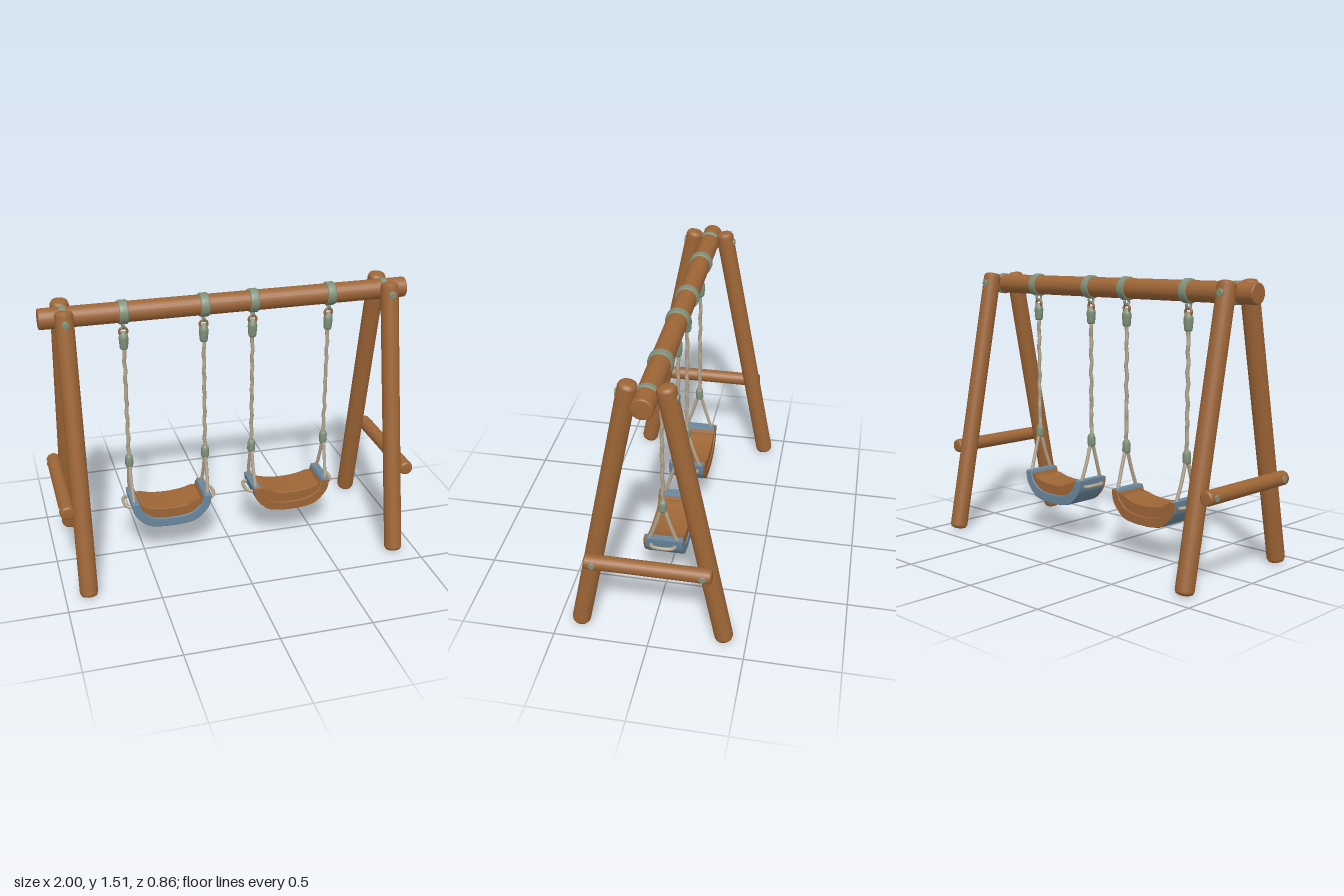
import * as THREE from 'three';

const mat = (name, color, side = THREE.FrontSide) => {
  const m = new THREE.MeshStandardMaterial({ color, side });
  m.name = name;
  return m;
};

export function createModel() {
  const wood = mat('wood', 0x9d6536);
  const metal = mat('greenMetal', 0x80907a);
  const rope = mat('rope', 0xb3a58d);
  const plastic = mat('bluePlastic', 0x6a869e);
  const V = (x, y, z) => new THREE.Vector3(x, y, z);

  const add = (parent, name, geometry, material) => {
    const m = new THREE.Mesh(geometry, material);
    m.name = name;
    parent.add(m);
    return m;
  };

  // Round post with softened ends, running from a to b
  const log = (parent, name, a, b, r, bevel, material) => {
    const h = a.distanceTo(b) / 2;
    const pts = [[0, -h], [r - bevel, -h], [r - bevel * 0.3, -h + bevel * 0.3], [r, -h + bevel],
      [r, h - bevel], [r - bevel * 0.3, h - bevel * 0.3], [r - bevel, h], [0, h]];
    const m = add(parent, name, new THREE.LatheGeometry(pts.map(p => new THREE.Vector2(...p)), 24), material);
    m.position.copy(a).add(b).multiplyScalar(0.5);
    m.quaternion.setFromUnitVectors(V(0, 1, 0), b.clone().sub(a).normalize());
    return m;
  };

  // Band around the beam
  const collar = (parent, name, x, width, r) => {
    const w = width / 2;
    const pts = [[0.05, -w], [r - 0.004, -w], [r, -w + 0.006], [r, w - 0.006], [r - 0.004, w], [0.05, w]];
    const m = add(parent, name, new THREE.LatheGeometry(pts.map(p => new THREE.Vector2(...p)), 28), metal);
    m.rotation.z = -Math.PI / 2;
    m.position.set(x, 1.45, 0);
  };

  const tube = (parent, name, points, r, material, n = 24) =>
    add(parent, name, new THREE.TubeGeometry(new THREE.CatmullRomCurve3(points), n, r, 8), material);

  // Band-shaped seat outline, spanning between two spline curves
  const curve = pts => {
    const half = pts.map(([x, y]) => new THREE.Vector2(x, y));
    const left = half.slice(0, -1).map(p => new THREE.Vector2(-p.x, p.y));
    return new THREE.SplineCurve([...left, ...half.reverse()]).getPoints(36);
  };
  const outer = [[0.222, 0.358], [0.206, 0.29], [0.14, 0.222], [0.06, 0.204], [0, 0.202]];
  const inner = [[0.19, 0.358], [0.168, 0.305], [0.115, 0.262], [0.05, 0.248], [0, 0.246]];
  const padTop = [[0.175, 0.325], [0.15, 0.327], [0.1, 0.314], [0.05, 0.307], [0, 0.305]];
  const band = (low, high, z0, z1, bevel) => {
    const shape = new THREE.Shape([...curve(low), ...curve(high).reverse()]);
    const g = new THREE.ExtrudeGeometry(shape, {
      depth: z1 - z0 - 2 * bevel, bevelEnabled: true, bevelSize: bevel,
      bevelThickness: bevel, bevelSegments: 2,
    });
    return g.translate(0, 0, z0 + bevel);
  };

  const root = new THREE.Group();
  root.name = 'swingSet';
  log(root, 'beam', V(-1, 1.45, 0), V(1, 1.45, 0), 0.055, 0.008, wood);

  // End frames
  for (const s of [-1, 1]) {
    const frame = new THREE.Group();
    frame.name = s > 0 ? 'leftFrame' : 'rightFrame';
    root.add(frame);
    for (const f of [-1, 1]) {
      log(frame, 'leg', V(s * 0.875, 0.008, f * 0.385), V(s * 0.875, 1.512, f * 0.085), 0.049, 0.022, wood);
      log(frame, 'crossbarBolt', V(s * 0.95, 0.487, f * 0.28), V(s * 0.99, 0.487, f * 0.28), 0.019, 0.004, metal);
    }
    log(frame, 'crossbar', V(s * 0.95, 0.487, -0.325), V(s * 0.95, 0.487, 0.325), 0.039, 0.012, wood);
    log(frame, 'legBolt', V(s * 0.875, 1.455, -0.15), V(s * 0.875, 1.455, 0.15), 0.02, 0.004, metal);
    collar(frame, 'beamStrap', s * 0.872, 0.036, 0.06);
  }

  // Swings, the second turned half round
  for (const s of [-1, 1]) {
    const swing = new THREE.Group();
    swing.name = s > 0 ? 'leftSwing' : 'rightSwing';
    swing.position.x = s * 0.35;
    if (s > 0) swing.rotation.y = Math.PI;
    root.add(swing);

    add(swing, 'seatShell', band(outer, inner, -0.098, 0.106, 0.005), plastic);
    add(swing, 'seatBackEdge', band(outer, inner, -0.107, -0.098, 0.004), wood);
    add(swing, 'seatPad', band(inner.map(([x, y]) => [x * 0.95, y - 0.004]), padTop, -0.1, 0.098, 0.004), wood);

    for (const e of [-1, 1]) {
      const x = e * 0.215;
      collar(swing, 'ropeCollar', x, 0.048, 0.064);

      // Hanger ring and shackle
      const eye = add(swing, 'hangerEye', new THREE.TorusGeometry(0.018, 0.007, 8, 16), metal);
      eye.position.set(x, 1.378, 0);
      eye.rotation.y = Math.PI / 2;
      const ring = add(swing, 'hangerRing', new THREE.TorusGeometry(0.021, 0.007, 8, 16), wood);
      ring.position.set(x, 1.343, 0);

      // Rope sleeves
      const sleeve = (name, y, pts) => {
        const g = new THREE.LatheGeometry(pts.map(p => new THREE.Vector2(...p)), 14);
        add(swing, name, g, metal).position.set(x, y, 0);
      };
      sleeve('upperSleeve', 1.245, [[0, 0], [0.018, 0], [0.022, 0.01], [0.026, 0.06], [0.023, 0.078], [0.011, 0.097], [0, 0.1]]);
      sleeve('lowerSleeve', 0.553, [[0, 0], [0.019, 0], [0.023, 0.01], [0.022, 0.05], [0.016, 0.068], [0, 0.07]]);

      // Slightly wavy main rope
      const pts = [];
      for (let i = 0; i <= 20; i++) {
        pts.push(V(x + 0.0025 * Math.sin(i * 2.1), 0.6 + i * 0.0335, 0.0025 * Math.cos(i * 1.7)));
      }
      tube(swing, 'rope', pts, 0.0105, rope, 60);

      // Split rope down to the seat end, and the loop outside it
      for (const f of [-1, 1]) {
        tube(swing, 'splitRope', [V(x, 0.57, f * 0.008), V(x, 0.46, f * 0.04), V(e * 0.208, 0.335, f * 0.082)], 0.01, rope, 12);
      }
      tube(swing, 'ropeLoop', [V(e * 0.19, 0.322, -0.062), V(e * 0.235, 0.326, -0.062), V(e * 0.253, 0.33, -0.04),
        V(e * 0.253, 0.33, 0.04), V(e * 0.235, 0.326, 0.062), V(e * 0.19, 0.322, 0.062)], 0.01, rope, 32);
    }
  }
  return root;
}
